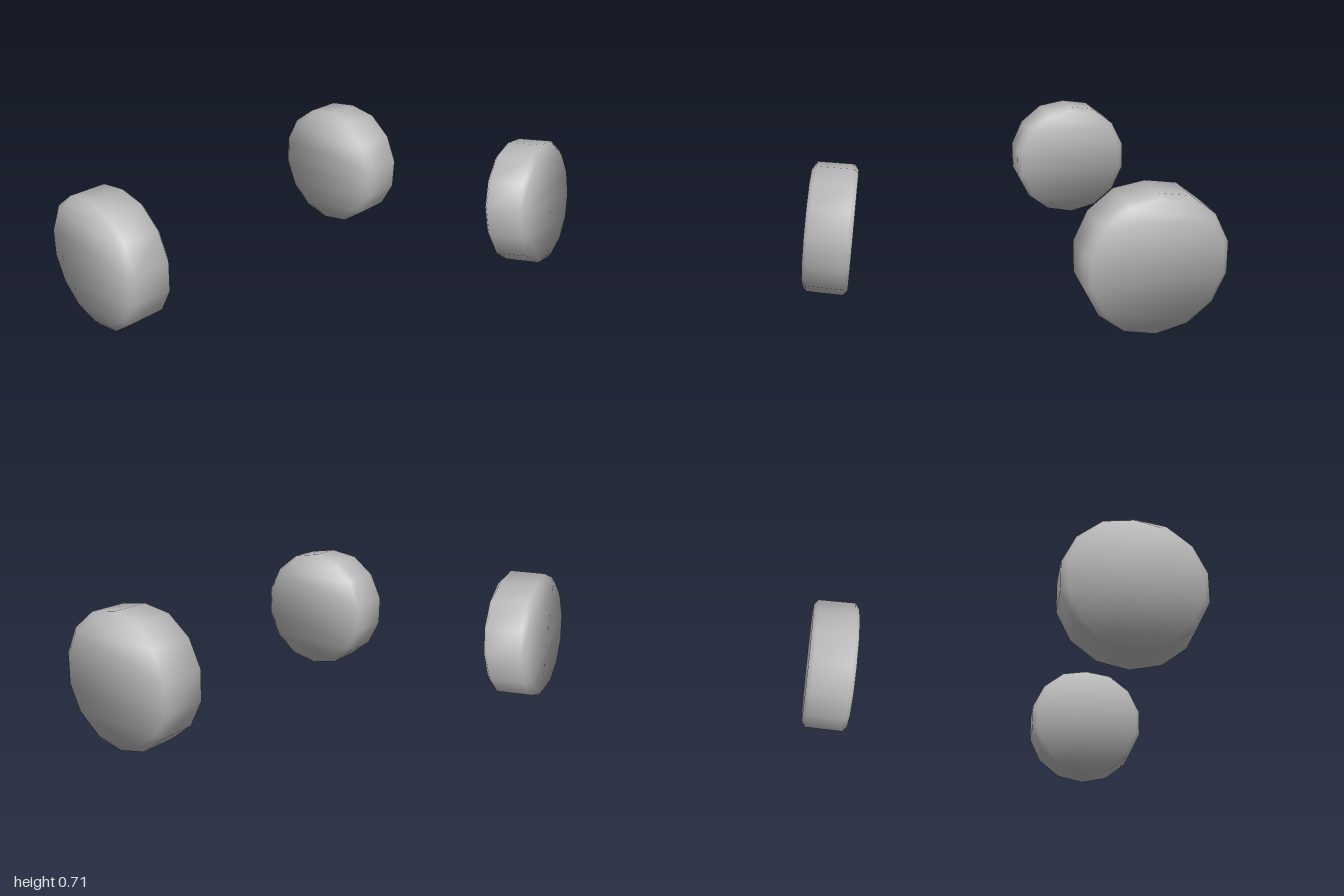
import * as THREE from 'three';

const SIDES = 14;
const CENTRE_Y = 0.358;
const TOP = 0.707 - CENTRE_Y;

// Cross-section of a wheel across its width: offset along x, radius, sideways lean of the normal
const PROFILE = [
  { x: -0.123, r: 0.328, lean: -1.0 },
  { x: -0.1, r: 0.359, lean: -0.4 },
  { x: 0.1, r: 0.359, lean: 0.4 },
  { x: 0.123, r: 0.328, lean: 1.0 },
];

// Chamfered drum with softly rounded shading and flat ends
function wheelGeometry() {
  const pos = [], nor = [], idx = [];
  const n = new THREE.Vector3();
  for (const { x, r, lean } of PROFILE) {
    for (let i = 0; i < SIDES; i++) {
      const a = (i / SIDES) * Math.PI * 2;
      const y = Math.cos(a), z = Math.sin(a);
      pos.push(x, Math.max(-CENTRE_Y, Math.min(TOP, y * r)), z * r);
      n.set(lean, y, z).normalize();
      nor.push(n.x, n.y, n.z);
    }
  }
  // Tread and chamfers
  for (let k = 0; k < PROFILE.length - 1; k++) {
    for (let i = 0; i < SIDES; i++) {
      const j = (i + 1) % SIDES;
      const a = k * SIDES + i, b = k * SIDES + j;
      const c = a + SIDES, d = b + SIDES;
      idx.push(a, b, c, b, d, c);
    }
  }
  // End faces, filled with level strips from top to bottom
  const last = (PROFILE.length - 1) * SIDES;
  const cap = (p, q, r) => {
    idx.push(last + p, last + q, last + r);
    idx.push(p, r, q);
  };
  for (let i = 0; i < SIDES / 2; i++) {
    const l0 = i, l1 = i + 1;
    const r0 = (SIDES - i) % SIDES, r1 = SIDES - i - 1;
    if (l0 !== r0) cap(l0, r1, r0);
    if (l1 !== r1) cap(l0, l1, r1);
  }
  const g = new THREE.BufferGeometry();
  g.setAttribute('position', new THREE.Float32BufferAttribute(pos, 3));
  g.setAttribute('normal', new THREE.Float32BufferAttribute(nor, 3));
  g.setIndex(idx);
  return g;
}

export function createModel() {
  const model = new THREE.Group();
  model.name = 'wheelPair';
  const grey = new THREE.MeshStandardMaterial({ color: 0xb8b8b8 });
  grey.name = 'grey';
  const geometry = wheelGeometry();

  // One wheel on each side
  for (const side of [-1, 1]) {
    const wheel = new THREE.Mesh(geometry, grey);
    wheel.name = side > 0 ? 'leftWheel' : 'rightWheel';
    wheel.position.set(side * 0.877, CENTRE_Y, 0);
    model.add(wheel);
  }
  return model;
}
